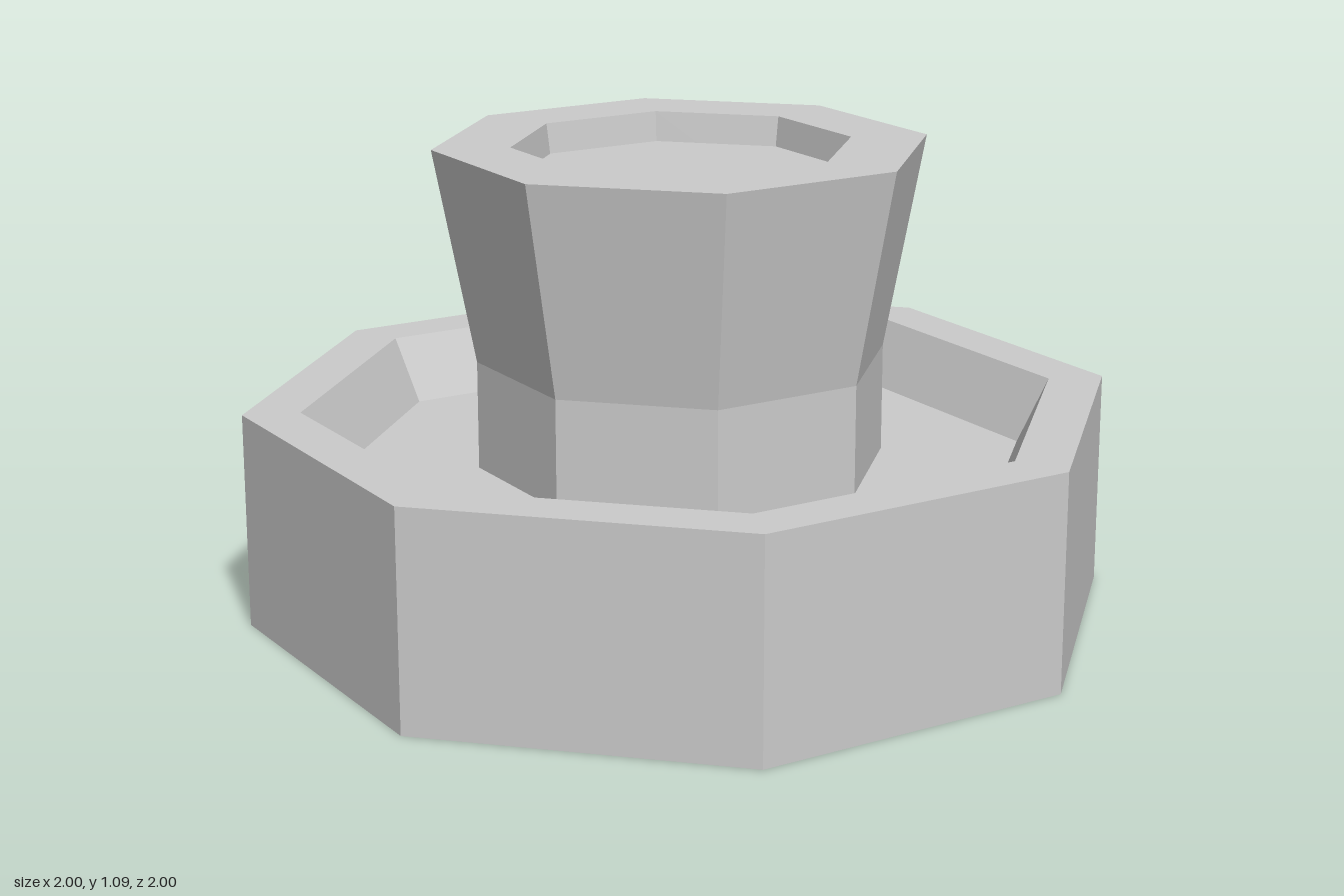
import * as THREE from 'three';

const SIDES = 8;

// Open shells are seen from both sides
const material = new THREE.MeshStandardMaterial({
  color: 0xcccccc,
  flatShading: true,
  side: THREE.DoubleSide,
});

// Octagonal shell turned from [radius, height] pairs
function shell(name, profile) {
  const points = profile.map(([r, y]) => new THREE.Vector2(r, y));
  const mesh = new THREE.Mesh(new THREE.LatheGeometry(points, SIDES), material);
  mesh.name = name;
  return mesh;
}

// Flat octagonal water surface
function water(name, radius, y) {
  const geometry = new THREE.CircleGeometry(radius, SIDES).rotateX(-Math.PI / 2);
  const mesh = new THREE.Mesh(geometry, material);
  mesh.name = name;
  mesh.position.y = y;
  return mesh;
}

export function createModel() {
  const group = new THREE.Group();
  group.name = 'fountain';

  // Lower basin: outer wall, flat rim, sloping bowl and raised floor, open below
  group.add(shell('basin', [[1, 0], [1, 0.5], [0.87, 0.5], [0.677, 0.1], [0.47, 0.1]]));

  // Hollow pedestal flaring into a small upper bowl
  group.add(shell('pedestal', [
    [0.47, 0.1], [0.47, 0.6], [0.563, 1.09], [0.387, 1.09], [0.36, 0.9], [0, 0.9],
  ]));

  // Water in both bowls
  group.add(water('basinWater', 0.798, 0.35));
  group.add(water('upperWater', 0.377, 1.02));

  return group;
}
